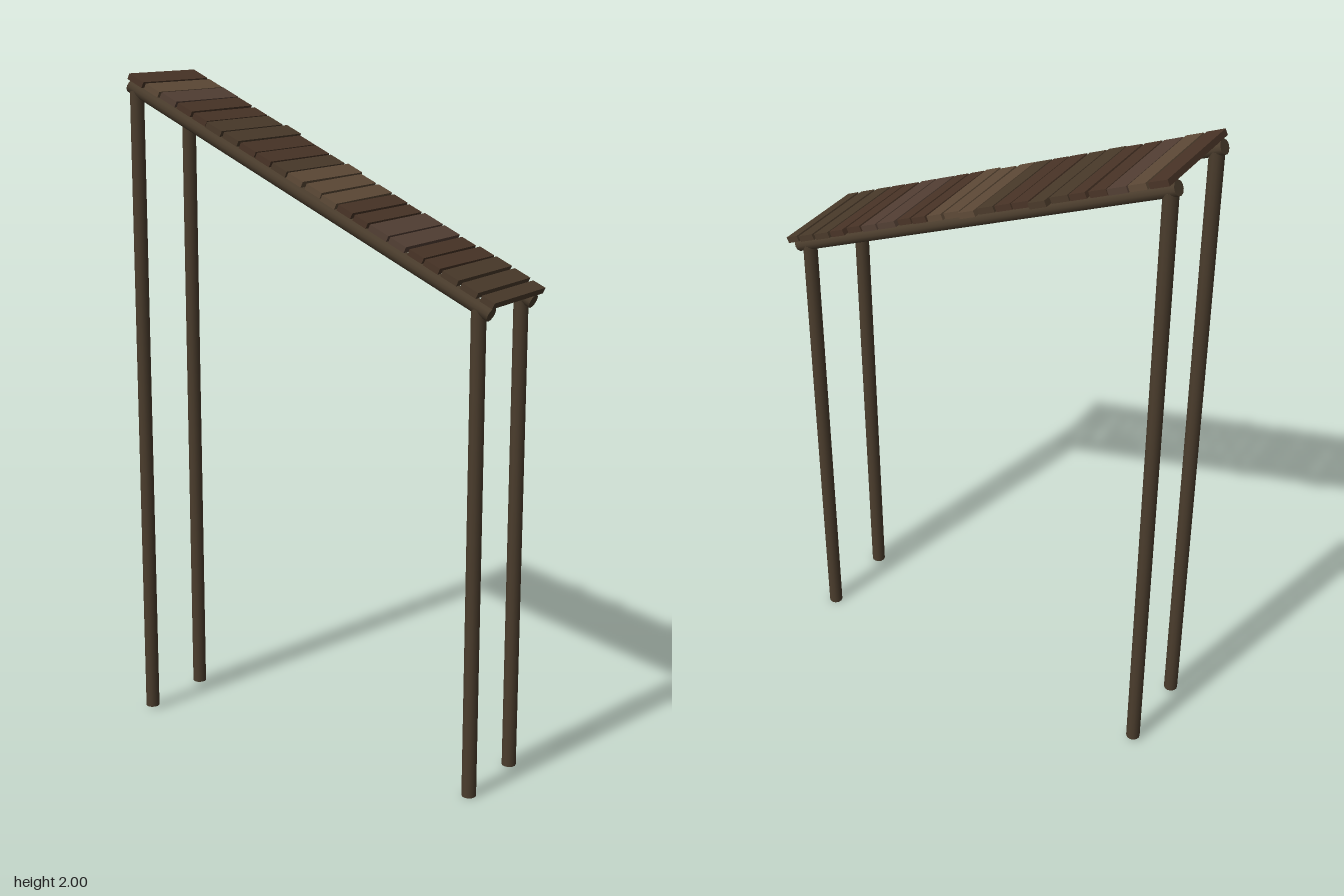
import * as THREE from 'three';

const RADIUS = 0.021;          // posts and beams
const THICK = 0.018;           // roof planks
const BEAM_Z = [0.134, -0.113];
const HIGH = new THREE.Vector2(-0.611, 1.964); // beam axis ends
const LOW = new THREE.Vector2(0.6, 1.399);

const mat = (color) => new THREE.MeshStandardMaterial({ color });
const logMat = mat(0x4b3d2d);
const plankMats = [0x4a3527, 0x4b3b2b, 0x5f4b38, 0x544035].map(mat);

// Planks from high to low end: [x start, x end, back z, front z, wood, yaw]
const PLANKS = [
  [-0.597, -0.545, -0.15, 0.16, 0, 0],
  [-0.538, -0.489, -0.15, 0.157, 2, 0],
  [-0.486, -0.432, -0.152, 0.15, 3, 0],
  [-0.427, -0.378, -0.15, 0.15, 0, 0.01],
  [-0.369, -0.323, -0.15, 0.15, 0, 0],
  [-0.319, -0.267, -0.15, 0.155, 1, 0],
  [-0.262, -0.212, -0.167, 0.15, 1, 0],
  [-0.204, -0.152, -0.15, 0.15, 0, 0],
  [-0.148, -0.1, -0.15, 0.15, 0, 0],
  [-0.094, -0.046, -0.15, 0.15, 1, 0],
  [-0.041, 0.008, -0.162, 0.15, 2, 0],
  [0.016, 0.066, -0.147, 0.145, 2, 0.012],
  [0.074, 0.12, -0.15, 0.155, 2, 0.016],
  [0.127, 0.172, -0.147, 0.15, 0, 0],
  [0.18, 0.222, -0.143, 0.15, 0, 0],
  [0.229, 0.288, -0.15, 0.15, 3, 0],
  [0.294, 0.344, -0.15, 0.15, 3, 0],
  [0.354, 0.399, -0.145, 0.148, 0, 0],
  [0.406, 0.452, -0.155, 0.15, 0, -0.01],
  [0.459, 0.508, -0.158, 0.15, 1, 0],
  [0.519, 0.568, -0.155, 0.15, 1, 0],
  [0.58, 0.618, -0.15, 0.15, 1, 0],
];

function log(name, length) {
  const mesh = new THREE.Mesh(new THREE.CylinderGeometry(RADIUS, RADIUS, length, 12), logMat);
  mesh.name = name;
  return mesh;
}

export function createModel() {
  const model = new THREE.Group();
  model.name = 'leanToShelter';

  // Four upright posts, taller at the high end
  for (const [name, x, bottom, top] of [['tallPost', -0.591, 0.01, 1.95], ['shortPost', 0.562, 0, 1.412]]) {
    for (const z of BEAM_Z) {
      const post = log(name, top - bottom);
      post.position.set(x, (top + bottom) / 2, z);
      model.add(post);
    }
  }

  // Sloping roof: local x runs down the slope from the high end
  const roof = new THREE.Group();
  roof.name = 'roof';
  const run = LOW.clone().sub(HIGH);
  const length = run.length();
  const angle = run.angle();
  roof.position.set(HIGH.x, HIGH.y, 0);
  roof.rotation.z = angle;
  model.add(roof);

  // Round beams carrying the planks
  for (const z of BEAM_Z) {
    const beam = log('roofBeam', length);
    beam.rotation.z = Math.PI / 2;
    beam.position.set(length / 2, 0, z);
    roof.add(beam);
  }

  // Uneven planks laid across the beams
  const topShift = (RADIUS + THICK) * -Math.sin(angle);
  const along = (x) => (x - HIGH.x - topShift) / Math.cos(angle);
  for (const [x0, x1, back, front, wood, yaw] of PLANKS) {
    const a = along(x0), b = along(x1);
    const plank = new THREE.Mesh(new THREE.BoxGeometry(b - a, THICK, front - back), plankMats[wood]);
    plank.name = 'roofPlank';
    plank.position.set((a + b) / 2, RADIUS + THICK / 2, (front + back) / 2);
    plank.rotation.y = yaw;
    roof.add(plank);
  }
  return model;
}
